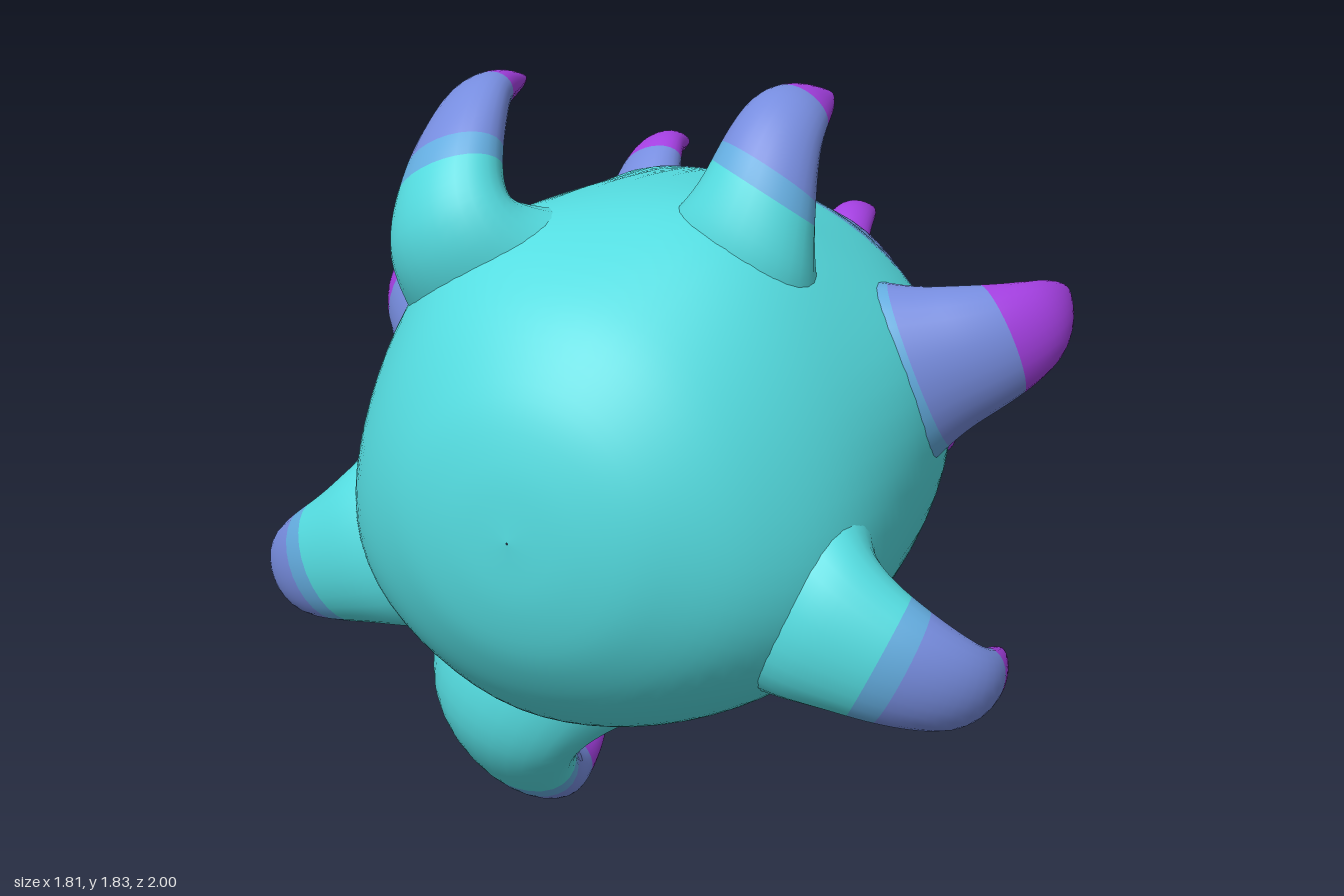
import * as THREE from 'three';

const V = (a) => new THREE.Vector3(...a);
const CORE = V([0, .95, .2]);

// Spikes: name, radius, shoulder on the body, outermost bend, tip
const frontSpikes = [
  ['topRightHorn', .2, [-.31, 1.5, .66], [-.335, 1.73, .51], [-.35, 1.77, .25]],
  ['topLeftHorn', .2, [.3, 1.5, .46], [.335, 1.72, .36], [.35, 1.76, .13]],
  ['bottomRightSpike', .24, [-.3, .32, .5], [-.32, .08, .31], [-.32, .03, -.02]],
];
// The lower pair mirrors across x
for (const [name, s] of [['leftLowerSpike', 1], ['rightLowerSpike', -1]]) {
  frontSpikes.push([name, .23, [s * .55, .73, .64], [s * .82, .61, .57], [s * .84, .58, .3]]);
}
const sideSpikes = [
  ['leftSideSpike', .24, [.58, 1.18, .2], [.8, 1.26, .07], [.83, 1.3, -.16]],
  ['rightSideSpike', .23, [-.56, 1.13, .23], [-.765, 1.21, .09], [-.79, 1.22, -.12]],
  ['bottomLeftSpike', .18, [.22, .42, -.08], [.295, .25, -.22], [.3, .19, -.42]],
  ['topBackSpike', .15, [-.25, 1.42, -.15], [-.265, 1.52, -.27], [-.27, 1.52, -.46]],
  ['rightRearSpike', .17, [-.55, .76, -.13], [-.655, .735, -.25], [-.65, .73, -.44]],
];
const backSpikes = [
  ['upperBackSpike', .13, [.16, 1.25, -.42], [.17, 1.34, -.53], [.17, 1.34, -.68]],
  ['leftBackSpike', .12, [.38, .83, -.38], [.44, .8, -.5], [.4, .77, -.64]],
  ['rightBackSpike', .13, [-.35, 1.05, -.44], [-.42, 1.09, -.59], [-.36, 1.1, -.77]],
  ['lowerBackSpike', .12, [-.15, .58, -.42], [-.18, .495, -.54], [-.18, .5, -.71]],
  ['tailSpike', .25, [0, .92, -.52], [0, 1.02, -.78], [-.01, 1.17, -1]],
];

function material(name, color) {
  const m = new THREE.MeshStandardMaterial({ color });
  m.name = name;
  return m;
}

// Joins rings of points into a smooth skin; colourOf(i) picks the material of each band
function loft(name, rings, materials, colourOf) {
  const n = rings[0].length, index = [];
  const geo = new THREE.BufferGeometry().setFromPoints(rings.flat());
  for (let i = 0; i < rings.length - 1; i++) {
    geo.addGroup(index.length, n * 6, colourOf(i));
    for (let j = 0; j < n; j++) {
      const a = i * n + j, b = i * n + (j + 1) % n;
      index.push(a, b, b + n, a, b + n, a + n);
    }
  }
  geo.setIndex(index);
  geo.computeVertexNormals();
  const mesh = new THREE.Mesh(geo, materials);
  mesh.name = name;
  return mesh;
}

function ring(centre, n, b, rn, rb, count) {
  return Array.from({ length: count }, (_, j) => {
    const a = j / count * Math.PI * 2;
    return centre.clone().addScaledVector(n, Math.cos(a) * rn).addScaledVector(b, Math.sin(a) * rb);
  });
}

// Curved horn with a flared root, wider across than it is thick;
// starts are where mid blue, blue and purple begin along its length
function makeSpike([name, radius, ...path], starts, materials) {
  const [shoulder, bend, tip] = path.map(V), steps = 50;
  const root = shoulder.clone().lerp(CORE, .35);
  const curve = new THREE.CatmullRomCurve3([root, shoulder, bend, tip]);
  const across = shoulder.clone().sub(root).cross(tip.clone().sub(bend)).normalize();
  const flat = name === 'tailSpike' ? .95 : .68;
  const rings = [];
  for (let i = 0; i <= steps; i++) {
    const t = i / steps;
    const n = across.clone().cross(curve.getTangentAt(t)).normalize();
    const r = radius * (Math.pow(1 - t, .7) + .6 * Math.max(0, 1 - t / .45) ** 2) + .0005;
    rings.push(ring(curve.getPointAt(t), n, across, r * flat, r, 28));
  }
  return loft(name, rings, materials, (i) => starts.filter((s) => (i + .5) / steps >= s).length);
}

// Rounded body along z, swollen under every spike
function makeBody(materials) {
  const profile = new THREE.SplineCurve([
    [1, .002], [.985, .16], [.93, .31], [.8, .46], [.58, .57], [.3, .61], [0, .59],
    [-.2, .53], [-.38, .45], [-.5, .35], [-.57, .2], [-.58, .002],
  ].map(([z, r]) => new THREE.Vector2(z, r)));
  const shoulders = [...frontSpikes, ...sideSpikes, ...backSpikes].map(([, size, p]) => [V(p), size]);
  const side = V([1, 0, 0]), down = V([0, -1, 0]);
  const zs = [], rings = [];
  for (let i = 0; i <= 70; i++) {
    const { x: z, y: r } = profile.getPointAt(i / 70);
    zs.push(z);
    const points = ring(V([0, .95, z]), side, down, r, r, 64);
    for (const p of points) {
      // The colour bands lean back on the right side
      p.z += .2 * Math.min(p.x, 0) * THREE.MathUtils.smoothstep(-z, -.3, .1);
      let push = 0;
      for (const [s, size] of shoulders) {
        push += size * .25 * Math.exp(-p.distanceToSquared(s) / (size * size * 1.4));
      }
      p.addScaledVector(p.clone().sub(CORE).normalize(), push);
    }
    rings.push(points);
  }
  return loft('body', rings, materials, (i) => (zs[i] > 0 ? 0 : zs[i] > -.21 ? 1 : 2));
}

export function createModel() {
  const materials = [
    material('teal', 0x54dce0), material('midBlue', 0x64ade0),
    material('blue', 0x768cde), material('purple', 0xa33fe0),
  ];
  const model = new THREE.Group();
  model.name = 'spikyCreature';
  model.add(makeBody(materials));
  for (const s of frontSpikes) model.add(makeSpike(s, [.46, .52, .76], materials));
  for (const s of sideSpikes) model.add(makeSpike(s, [.24, .32, .58], materials));
  for (const s of backSpikes) model.add(makeSpike(s, [0, 0, .5], materials));
  return model;
}
